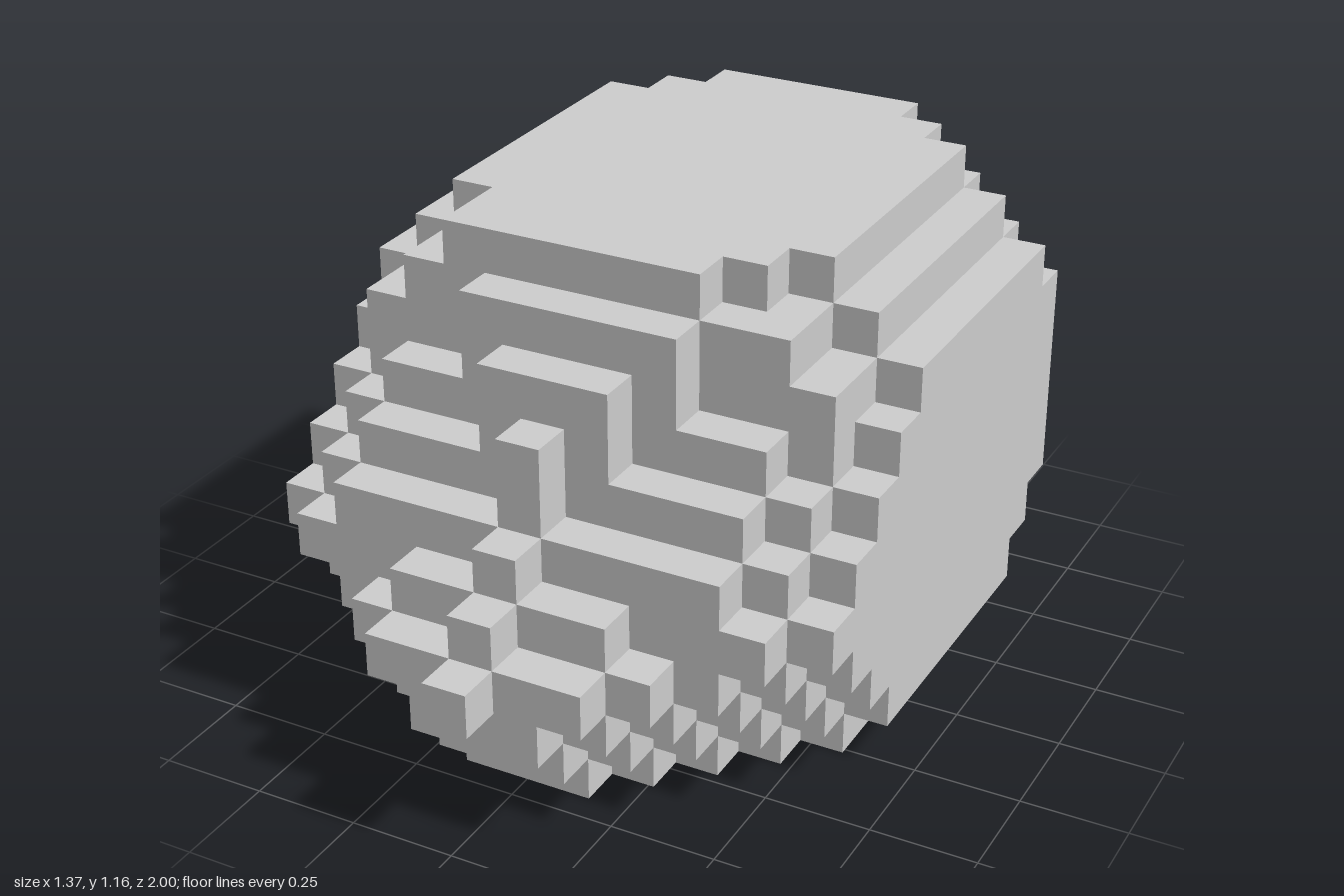
import * as THREE from 'three';

const W = 13, H = 11, D = 19, U = 2 / D; // size in cubes, and the cube edge

// Front relief, bottom row first: number of cubes cut away from the front,
// listed from the centre column outwards (mirrored in x).
const RELIEF = [
  [3, 3, 4, 5, 6, 7],
  [2, 2, 3, 4, 5, 6, 7],
  [1, 1, 2, 3, 4, 5, 6],
  [0, 1, 1, 2, 3, 4, 5],
  [1, 2, 2, 3, 3, 3, 4],
  [2, 3, 3, 3, 3, 4, 5],
  [3, 4, 4, 4, 4, 5, 6],
  [3, 4, 5, 5, 5, 6, 7],
  [4, 4, 5, 6, 6, 6, 8],
  [5, 5, 5, 6, 6, 8],
  [6, 6, 6, 6, 8],
];

// Is the cube at column x (-6..6), row y, layer z (counted from the back) solid?
function solid(x, y, z) {
  const i = Math.abs(x);
  if (y < 0 || y >= H || z < 0 || i >= RELIEF[y].length) return false;
  // stepped chamfers along the back edges and corners
  const a = 6 - i, b = Math.min(y, H - 1 - y);
  if (a + z < 3 || b + z < 2 || a + b + z < 6) return false;
  // one extra cube is missing from the left brow
  const cut = RELIEF[y][i] + (y === 10 && x === 3 ? 1 : 0);
  return z < D - cut;
}

// Outer skin of the cubes: one square wherever a solid cube meets air
function skinGeometry() {
  const pos = [];
  const corners = [[-1, -1], [1, -1], [1, 1], [-1, -1], [1, 1], [-1, 1]];
  const addFace = (centre, axis, sign) => {
    const u = (axis + 1) % 3, v = (axis + 2) % 3;
    for (const [p, q] of corners) {
      const c = [...centre];
      c[axis] += sign / 2;
      c[u] += (p * sign) / 2; // flips the winding for negative sides
      c[v] += q / 2;
      pos.push(c[0] * U, c[1] * U, c[2] * U);
    }
  };
  for (let x = -6; x <= 6; x++)
    for (let y = 0; y < H; y++)
      for (let z = 0; z < D; z++) {
        if (!solid(x, y, z)) continue;
        for (let axis = 0; axis < 3; axis++)
          for (const sign of [-1, 1]) {
            const n = [x, y, z];
            n[axis] += sign;
            if (!solid(...n)) addFace([x, y + 0.5, z + 0.5 - D / 2], axis, sign);
          }
      }
  const geometry = new THREE.BufferGeometry();
  geometry.setAttribute('position', new THREE.Float32BufferAttribute(pos, 3));
  geometry.computeVertexNormals();
  return geometry;
}

export function createModel() {
  const group = new THREE.Group();
  group.name = 'blockHead';
  const material = new THREE.MeshStandardMaterial({ color: 0xcccccc, flatShading: true });
  const head = new THREE.Mesh(skinGeometry(), material);
  head.name = 'head';
  group.add(head);
  return group;
}
